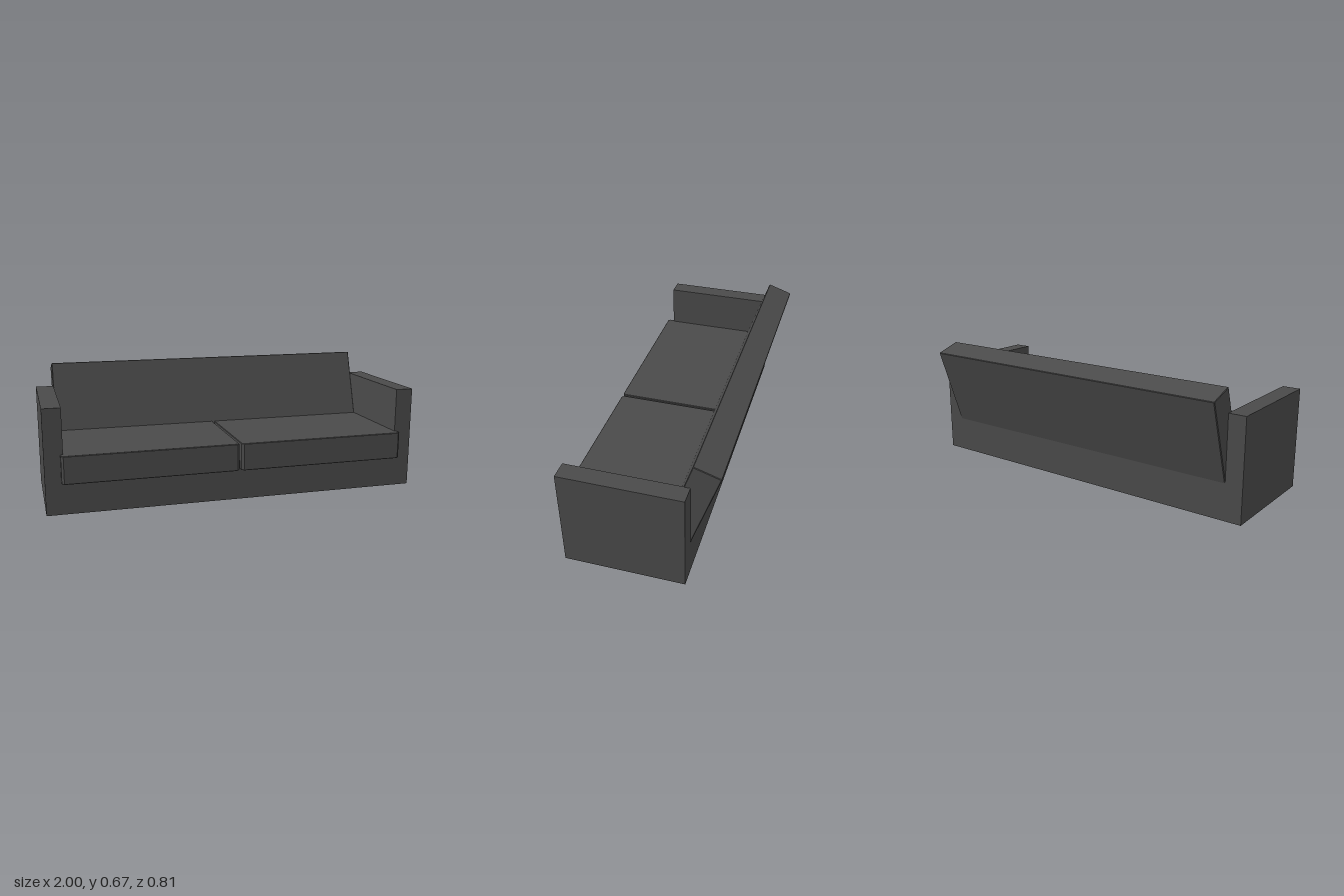
import * as THREE from 'three';

const fabric = new THREE.MeshStandardMaterial({ color: 0x4a4a4a });
fabric.name = 'charcoal fabric';

// Box with chamfered upright corners and a fine bevel, centred on its origin
function paddedBox(name, w, h, d, corner, bevel) {
  const x = w / 2 - bevel, z = d / 2 - bevel, c = corner;
  const outline = new THREE.Shape([
    [-x + c, -z], [x - c, -z], [x, -z + c], [x, z - c],
    [x - c, z], [-x + c, z], [-x, z - c], [-x, -z + c],
  ].map(([a, b]) => new THREE.Vector2(a, b)));
  const geometry = new THREE.ExtrudeGeometry(outline, {
    depth: h - 2 * bevel, bevelThickness: bevel, bevelSize: bevel, bevelSegments: 1,
  });
  geometry.rotateX(-Math.PI / 2).center();
  const mesh = new THREE.Mesh(geometry, fabric);
  mesh.name = name;
  return mesh;
}

export function createModel() {
  const sofa = new THREE.Group();
  sofa.name = 'sofa';

  // Body: one U-shaped front outline of base and arms
  const outline = new THREE.Shape([
    [-1, 0], [1, 0], [1, 0.546], [0.905, 0.546],
    [0.905, 0.21], [-0.905, 0.21], [-0.905, 0.546], [-1, 0.546],
  ].map(([x, y]) => new THREE.Vector2(x, y)));
  const bodyGeometry = new THREE.ExtrudeGeometry(outline, { depth: 0.625, bevelEnabled: false });
  bodyGeometry.translate(0, 0, -0.26);
  const body = new THREE.Mesh(bodyGeometry, fabric);
  body.name = 'baseAndArms';
  sofa.add(body);

  // Two seat cushions, overhanging the front
  for (const side of [-1, 1]) {
    const cushion = paddedBox(side > 0 ? 'leftCushion' : 'rightCushion', 0.913, 0.145, 0.615, 0.01, 0.003);
    cushion.position.set(side * 0.4625, 0.2385, 0.0975);
    sofa.add(cushion);
  }

  // Reclined backrest, hung from the middle of its top face
  const tilt = Math.atan2(0.045, 0.135), length = 0.53;
  const backrest = paddedBox('backrest', 1.815, length, 0.142, 0.002, 0.003);
  backrest.rotation.x = -tilt;
  backrest.position.set(
    0,
    0.652 - Math.cos(tilt) * length / 2,
    -0.3375 + Math.sin(tilt) * length / 2,
  );
  sofa.add(backrest);

  return sofa;
}
